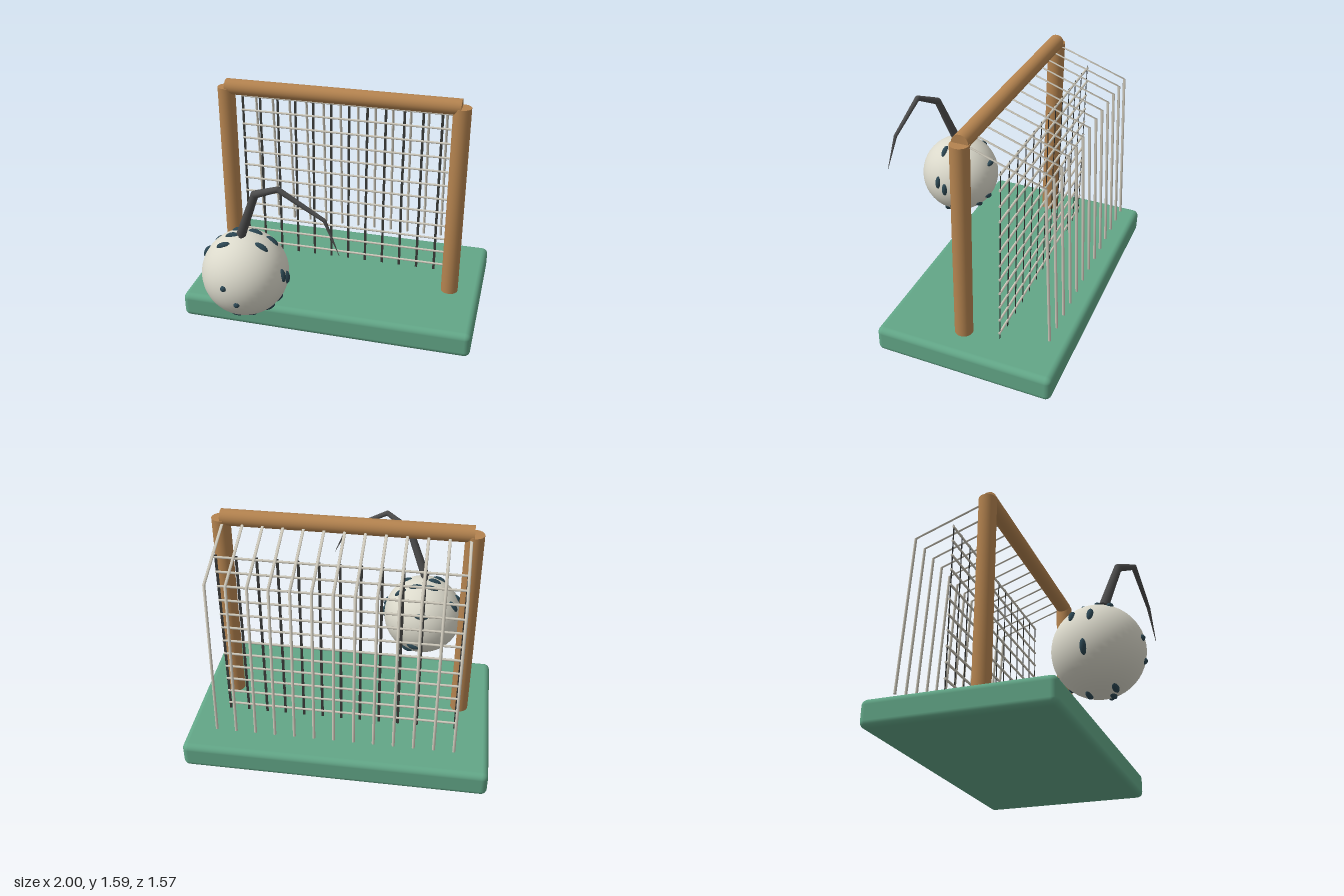
import * as THREE from 'three';
import { RoundedBoxGeometry } from 'three/addons/geometries/RoundedBoxGeometry.js';

const mat = (name, color, side = THREE.FrontSide) => {
  const m = new THREE.MeshStandardMaterial({ color, side });
  m.name = name;
  return m;
};
const V = (x, y, z) => new THREE.Vector3(x, y, z);

export function createModel() {
  const green = mat('green', 0x62a687);
  const wood = mat('wood', 0xb4834f);
  const cord = mat('cord', 0xcfcabc);
  const ivory = mat('ivory', 0xdbd9cb);
  const spotBlue = mat('spotBlue', 0x2c4753);
  const dark = mat('darkGrey', 0x4c4c4c);
  const strandDark = mat('strandGrey', 0x3a3b39, THREE.DoubleSide);

  const model = new THREE.Group();
  const add = (name, geometry, material, parent = model) => {
    const m = new THREE.Mesh(geometry, material);
    m.name = name;
    parent.add(m);
    return m;
  };
  const group = (name) => {
    const g = new THREE.Group();
    g.name = name;
    model.add(g);
    return g;
  };
  // Tapered rod between two points
  const rod = (name, a, b, ra, rb, material, parent = model, sides = 12) => {
    const dir = b.clone().sub(a);
    const m = add(name, new THREE.CylinderGeometry(rb, ra, dir.length(), sides), material, parent);
    m.position.copy(a).add(b).multiplyScalar(0.5);
    m.quaternion.setFromUnitVectors(V(0, 1, 0), dir.normalize());
    return m;
  };

  // Base slab
  add('base', new RoundedBoxGeometry(2, 0.176, 1.185, 4, 0.04), green).position.set(0, 0.088, -0.188);

  // Goal frame
  for (const s of [-1, 1]) {
    rod(s > 0 ? 'leftPost' : 'rightPost', V(s * 0.79, 0.1, -0.12), V(s * 0.79, 1.535, -0.12), 0.059, 0.059, wood, model, 24);
  }
  rod('crossbar', V(-0.787, 1.538, -0.12), V(0.787, 1.538, -0.12), 0.053, 0.053, wood, model, 24);

  // Net: bent back cords, flat strands and horizontal cords
  const net = group('net');
  const cordPath = [[1.53, -0.13], [1.355, -0.627], [0.28, -0.688]];
  const bent = new THREE.CylinderGeometry(0.0095, 0.0095, 1, 8, 2);
  const pos = bent.attributes.position;
  for (let i = 0; i < pos.count; i++) {
    const [y, z] = cordPath[Math.round((0.5 - pos.getY(i)) * 2)];
    pos.setY(i, y);
    pos.setZ(i, pos.getZ(i) + z);
  }
  bent.computeVertexNormals();
  const strand = new THREE.PlaneGeometry(0.018, 1.24);
  for (let i = 0; i < 13; i++) {
    const x = -0.77 + (i * 1.54) / 12;
    add('backCord', bent, cord, net).position.x = x;
    add('netStrand', strand, strandDark, net).position.set(x, 0.785, -0.359);
  }
  for (let i = 0; i < 12; i++) {
    const y = 0.226 + i * 0.1056;
    rod('crossCord', V(-0.78, y, -0.359), V(0.78, y, -0.359), 0.008, 0.008, cord, net, 8);
  }

  // Ball
  const centre = V(-0.482, 0.502, 0.498);
  add('ball', new THREE.SphereGeometry(0.284, 40, 28), ivory).position.copy(centre);

  // Oval spots, lying along the ball's rim as it faces forward
  const spots = group('spots');
  const spotGeo = new THREE.SphereGeometry(1, 14, 10);
  const spotDirs = [
    [-0.05, 0.03, 0.28], [0.03, -0.085, 0.27],
    [0.28, 0.045, 0.057], [0.284, 0, 0], [0.21, -0.19, -0.03], [0.1, -0.18, -0.2],
    [0, 0.14, -0.25], [0.05, -0.12, -0.25],
    [-0.055, 0.27, -0.067], [0.06, 0.27, -0.062], [0.17, 0.22, -0.07], [-0.22, 0.15, -0.1],
    [-0.07, 0.27, 0.02], [-0.105, 0.245, 0.105], [0.14, 0.24, 0.06],
    [-0.27, -0.08, -0.02], [-0.25, 0.13, 0.02],
    [-0.04, -0.265, 0.107], [0.05, -0.27, 0.07], [-0.02, -0.28, -0.06], [0.16, -0.22, 0.03],
  ];
  for (const d of spotDirs) {
    const n = V(...d).normalize();
    const s = add('spot', spotGeo, spotBlue, spots);
    s.position.copy(centre).addScaledVector(n, 0.276);
    const along = V(0, 0, 1).cross(n).normalize();
    s.quaternion.setFromRotationMatrix(new THREE.Matrix4().makeBasis(n, along, n.clone().cross(along)));
    if (n.z > 0.9) s.scale.set(0.025, 0.021, 0.021);
    else s.scale.set(0.026, 0.049, 0.021);
  }

  // Bent tapering arm on top of the ball
  const arm = group('arm');
  const joints = [
    [V(-0.482, 0.805, 0.537), 0.031], [V(-0.353, 1.135, 0.605), 0.025], [V(-0.184, 1.222, 0.672), 0.018],
    [V(0.108, 1.064, 0.695), 0.012], [V(0.203, 0.85, 0.715), 0.001],
  ];
  rod('armNeck', V(-0.49, 0.74, 0.525), joints[0][0], 0.018, 0.02, dark, arm);
  for (let i = 0; i < joints.length - 1; i++) {
    const [a, ra] = joints[i], [b, rb] = joints[i + 1];
    rod('armSegment', a, b, ra, rb, dark, arm);
    if (i > 0) add('armJoint', new THREE.SphereGeometry(ra, 12, 8), dark, arm).position.copy(a);
  }

  return model;
}
